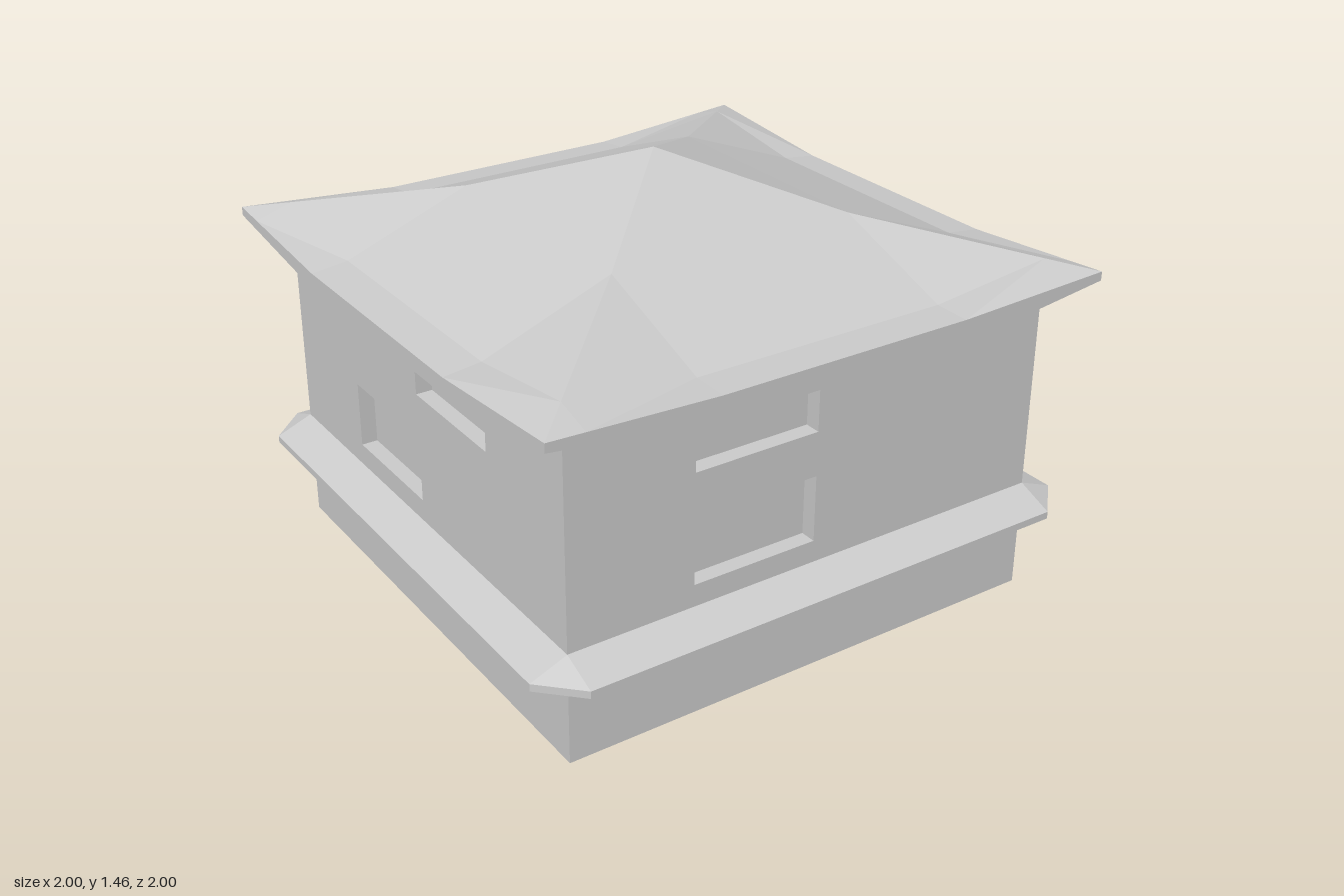
import * as THREE from 'three';

const HALF = 0.875;    // half width of the walls
const RECESS = 0.055;  // depth of the window recesses
const MID = 0.44;      // grid line where the roof bends

const material = new THREE.MeshStandardMaterial({ color: 0xcccccc, flatShading: true });

function addMesh(parent, name, geometry) {
  const mesh = new THREE.Mesh(geometry, material);
  mesh.name = name;
  parent.add(mesh);
  return mesh;
}

// A closed four-sided ring; height may vary along t and per side.
function ring(radius, stops, height) {
  const points = [];
  for (let side = 0; side < 4; side++) {
    const c = Math.round(Math.cos(side * Math.PI / 2));
    const s = Math.round(Math.sin(side * Math.PI / 2));
    for (const stop of stops) {
      const t = THREE.MathUtils.clamp(stop, -radius, radius);
      points.push(new THREE.Vector3(t * c + radius * s, height(Math.abs(t), side), radius * c - t * s));
    }
  }
  return points;
}

// Skins consecutive rings, leaving out collapsed triangles.
function skin(rings) {
  const positions = [];
  const face = (...corners) => {
    if (new THREE.Triangle(...corners).getArea() < 1e-7) return;
    for (const p of corners) positions.push(p.x, p.y, p.z);
  };
  for (let k = 0; k < rings.length - 1; k++) {
    const lower = rings[k], upper = rings[k + 1];
    for (let i = 0; i < lower.length; i++) {
      const j = (i + 1) % lower.length;
      face(lower[i], lower[j], upper[j]);
      face(lower[i], upper[j], upper[i]);
    }
  }
  const geometry = new THREE.BufferGeometry();
  geometry.setAttribute('position', new THREE.Float32BufferAttribute(positions, 3));
  geometry.computeVertexNormals();
  return geometry;
}

// Wall panel with rectangular openings
function wallPanel(halfWidth, windows) {
  const rect = (path, x0, y0, x1, y1) =>
    path.moveTo(x0, y0).lineTo(x1, y0).lineTo(x1, y1).lineTo(x0, y1).closePath();
  const shape = new THREE.Shape();
  rect(shape, -halfWidth, 0, halfWidth, 1.05);
  for (const [x, y0, y1] of windows) {
    const hole = new THREE.Path();
    rect(hole, x, y0, x + MID, y1);
    shape.holes.push(hole);
  }
  return new THREE.ExtrudeGeometry(shape, { depth: RECESS, bevelEnabled: false })
    .translate(0, 0, HALF - RECESS);
}

export function createModel() {
  const model = new THREE.Group();
  model.name = 'house';

  // Core behind the window openings
  const inner = 2 * (HALF - RECESS);
  addMesh(model, 'core', new THREE.BoxGeometry(inner, 1.05, inner).translate(0, 0.525, 0));

  // Four walls: left edge of the upper and of the lower window on each
  const walls = [
    ['frontWall', -MID, -MID],
    ['leftWall', -MID, 0],
    ['backWall', 0, 0],
    ['rightWall', 0, -MID],
  ];
  walls.forEach(([name, upperX, lowerX], side) => {
    const halfWidth = side % 2 ? HALF - RECESS : HALF;
    const panel = wallPanel(halfWidth, [[upperX, 0.83, 0.98], [lowerX, 0.455, 0.68]]);
    addMesh(model, name, panel).rotation.y = side * Math.PI / 2;
  });

  // Sloped ledge around the walls, with cut corners
  const ends = [-HALF, HALF];
  addMesh(model, 'ledge', skin([
    ring(HALF, ends, () => 0.305),
    ring(1, ends, () => 0.305),
    ring(1, ends, () => 0.33),
    ring(HALF, ends, () => 0.38),
  ]));

  // Hipped roof: eaves sag in the middle and lift towards the corners
  const stops = [-1, -HALF, -MID, 0, MID, HALF, 1];
  const lift = (t, radius, low, high) =>
    THREE.MathUtils.mapLinear(Math.max(t, MID), MID, radius, low, high);
  addMesh(model, 'roof', skin([
    ring(HALF, stops, () => 1.05),
    ring(1, stops, (t) => lift(t, 1, 1.05, 1.12)),
    ring(1, stops, (t, side) => lift(t, 1, side === 0 ? 1.128 : 1.105, 1.15)),
    ring(HALF, stops, (t, side) => lift(t, HALF, side === 0 ? 1.13 : 1.12, 1.18)),
    ring(MID, stops, () => 1.285),
    ring(0, stops, () => 1.46),
  ]));

  return model;
}
